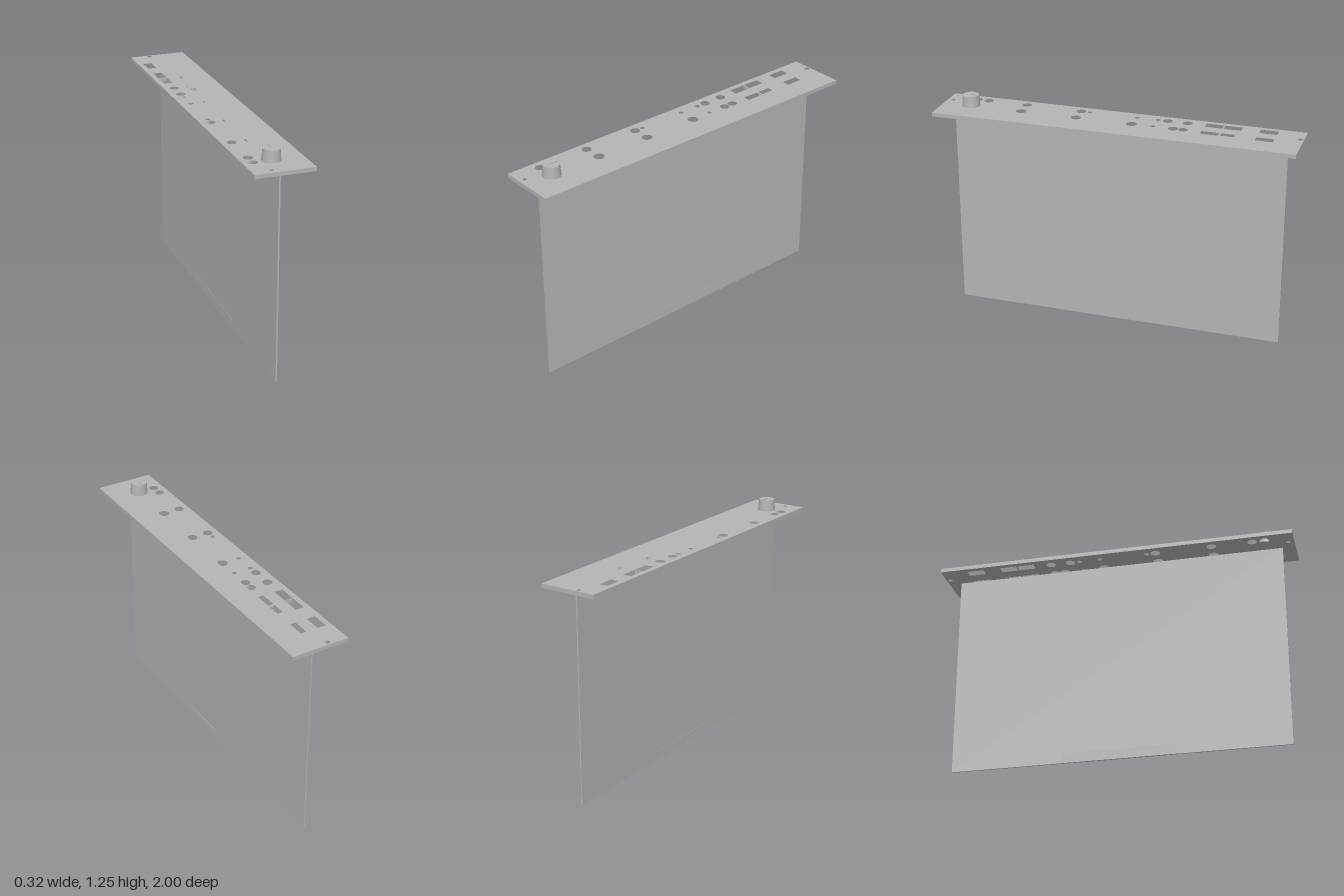
import * as THREE from 'three';

export function createModel() {
  const model = new THREE.Group();
  const grey = new THREE.MeshStandardMaterial({ color: 0xb4b4b4 });
  grey.name = 'plain grey';

  const add = (name, geometry, x = 0, y = 0, z = 0) => {
    const mesh = new THREE.Mesh(geometry, grey);
    mesh.name = name;
    mesh.position.set(x, y, z);
    model.add(mesh);
    return mesh;
  };
  // Box given by its extents on each axis
  const addBox = (name, [x0, x1], [y0, y1], [z0, z1]) =>
    add(name, new THREE.BoxGeometry(x1 - x0, y1 - y0, z1 - z0),
      (x0 + x1) / 2, (y0 + y1) / 2, (z0 + z1) / 2);

  // Face panel outline, drawn flat with shape y = -z
  const rect = (path, x0, x1, z0, z1) => {
    path.moveTo(x0, -z0);
    path.lineTo(x1, -z0);
    path.lineTo(x1, -z1);
    path.lineTo(x0, -z1);
    path.closePath();
    return path;
  };
  const panel = rect(new THREE.Shape(), -0.16, 0.16, -1, 1);

  // Round holes: x, z, radius
  const roundHoles = [
    [-0.053, -0.979, 0.013], [-0.06, 0.968, 0.011],
    [-0.103, -0.365, 0.026], [-0.103, -0.254, 0.026], [-0.103, -0.2, 0.013],
    [-0.103, -0.084, 0.013], [-0.103, 0.185, 0.013], [-0.103, 0.233, 0.026],
    [-0.106, 0.549, 0.026], [-0.106, 0.775, 0.026], [-0.106, 0.841, 0.026],
    [-0.005, -0.365, 0.025], [-0.005, -0.31, 0.026], [-0.005, -0.2, 0.012],
    [-0.004, -0.082, 0.029], [-0.006, 0.231, 0.028], [-0.007, 0.546, 0.029],
  ];
  for (const [x, z, r] of roundHoles) {
    panel.holes.push(new THREE.Path().absarc(x, -z, r, 0, Math.PI * 2, true));
  }

  // Connector cut-outs: x range, z range
  const slots = [
    [-0.13, -0.082, -0.852, -0.756], [-0.016, 0.026, -0.85, -0.756],
    [-0.13, -0.082, -0.659, -0.564], [-0.016, 0.018, -0.643, -0.569],
    [-0.13, -0.082, -0.558, -0.462], [-0.016, 0.023, -0.558, -0.462],
  ];
  for (const slot of slots) panel.holes.push(rect(new THREE.Path(), ...slot));

  const panelGeometry = new THREE.ExtrudeGeometry(panel, {
    depth: 0.022, bevelEnabled: false, curveSegments: 16,
  });
  panelGeometry.rotateX(-Math.PI / 2);
  add('facePanel', panelGeometry, 0, 1.158, 0);

  // Circuit board with its edge connector and mounting strip
  addBox('board', [-0.004, 0.004], [0, 1.158], [-0.93, 0.93]);
  addBox('edgeConnector', [-0.005, 0.005], [0, 0.055], [-0.315, 0.315]);
  addBox('mountingStrip', [0, 0.09], [1.147, 1.158], [-0.93, 0.93]);

  // Tapered control knob with a raised pointer
  add('knob', new THREE.CylinderGeometry(0.044, 0.049, 0.063, 40), -0.01, 1.2115, 0.84);
  addBox('knobPointer', [-0.013, -0.007], [1.242, 1.247], [0.798, 0.842]);

  return model;
}
